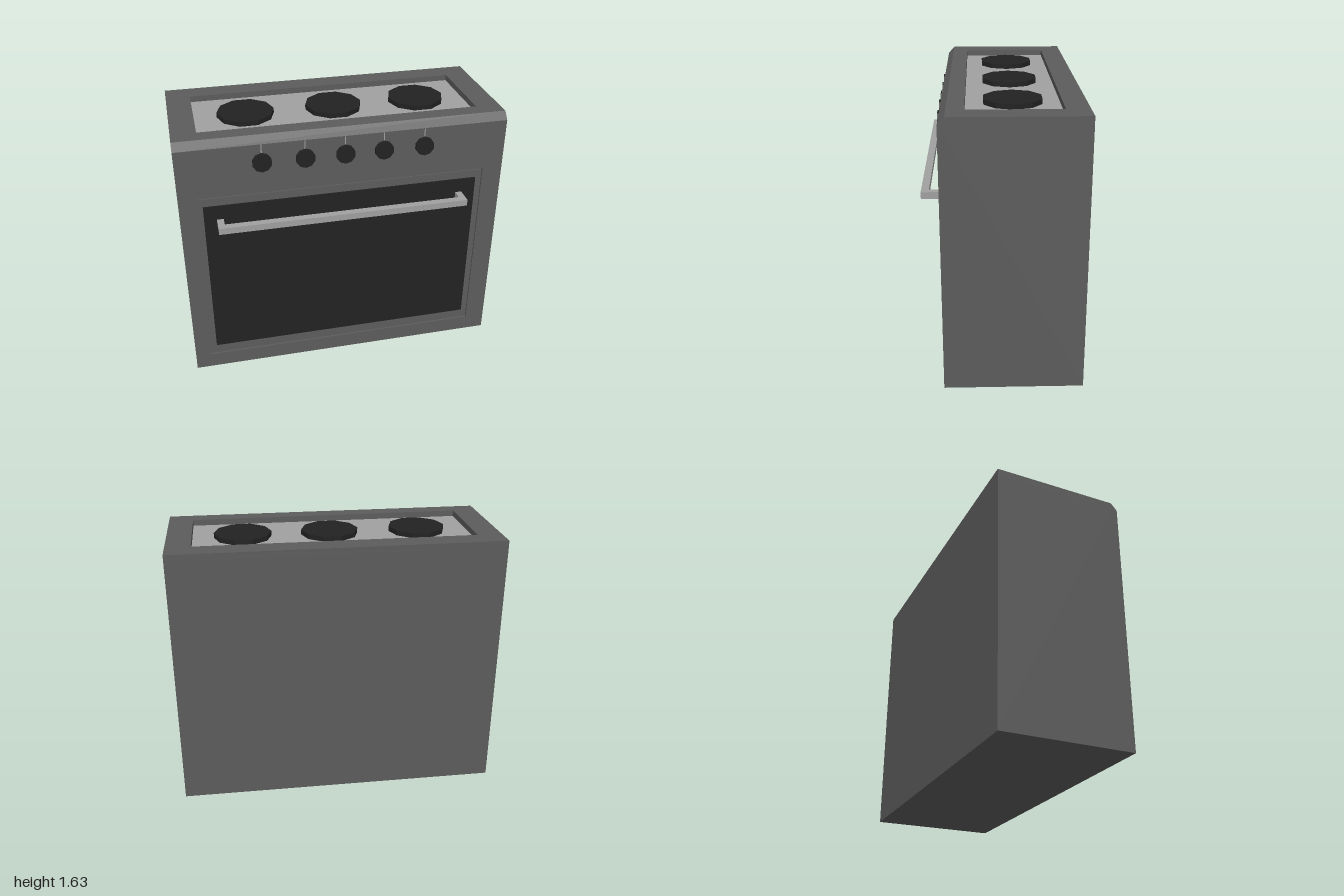
import * as THREE from 'three';

const steel = new THREE.MeshStandardMaterial({ color: 0x5c5c5c, flatShading: true });
const metal = new THREE.MeshStandardMaterial({ color: 0xa0a0a0, flatShading: true });
const black = new THREE.MeshStandardMaterial({ color: 0x222222, flatShading: true });

const BACK = -0.465, FRONT = 0.35, TOP = 1.635;
const SHOULDER_Y = 1.59, SHOULDER_Z = 0.31;   // bevel along the top front edge
const PAN_DEPTH = 0.04, DOOR_DEPTH = 0.012;   // depths of the two recesses

function add(group, name, geometry, material) {
  const mesh = new THREE.Mesh(geometry, material);
  mesh.name = name;
  group.add(mesh);
  return mesh;
}

// Box given by its limits on each axis
function block(x0, x1, y0, y1, z0, z1) {
  return new THREE.BoxGeometry(x1 - x0, y1 - y0, z1 - z0)
    .translate((x0 + x1) / 2, (y0 + y1) / 2, (z0 + z1) / 2);
}

function rectangle(PathType, x0, x1, y0, y1) {
  return new PathType([[x0, y0], [x1, y0], [x1, y1], [x0, y1]].map(p => new THREE.Vector2(...p)));
}

// Plate with a rectangular opening, lying in xy and extruded along +z
function framePlate(outer, inner, depth) {
  const shape = rectangle(THREE.Shape, ...outer);
  shape.holes.push(rectangle(THREE.Path, ...inner));
  return new THREE.ExtrudeGeometry(shape, { depth, bevelEnabled: false });
}

function createBody() {
  const body = new THREE.Group();
  body.name = 'body';

  // Side profile (z, y), extruded across the width
  const profile = new THREE.Shape([
    [BACK, 0], [FRONT - DOOR_DEPTH, 0], [FRONT - DOOR_DEPTH, SHOULDER_Y], [FRONT, SHOULDER_Y],
    [SHOULDER_Z, TOP], [SHOULDER_Z, TOP - PAN_DEPTH], [BACK, TOP - PAN_DEPTH],
  ].map(p => new THREE.Vector2(...p)));
  const core = new THREE.ExtrudeGeometry(profile, { depth: 2, bevelEnabled: false });
  add(body, 'cabinet', core.rotateY(-Math.PI / 2).translate(1, 0, 0), steel);

  // Front face around the door recess
  const face = framePlate([-1, 1, 0, SHOULDER_Y], [-0.905, 0.875, 0.1, 1.28], DOOR_DEPTH);
  add(body, 'frontFrame', face.translate(0, 0, FRONT - DOOR_DEPTH), steel);

  // Top rim around the cooktop recess (drawn in x, -z)
  const rim = framePlate([-1, 1, -SHOULDER_Z, -BACK], [-0.85, 0.85, -0.21, 0.33], PAN_DEPTH);
  add(body, 'topRim', rim.rotateX(-Math.PI / 2).translate(0, TOP - PAN_DEPTH, 0), steel);
  return body;
}

function createCooktop() {
  const cooktop = new THREE.Group();
  cooktop.name = 'cooktop';
  const floor = TOP - PAN_DEPTH;
  add(cooktop, 'cooktopPan', block(-0.85, 0.85, floor - 0.01, floor + 0.003, -0.33, 0.21), metal);
  for (const x of [-0.535, 0.012, 0.545]) {
    const plate = new THREE.CylinderGeometry(0.175, 0.175, 0.03, 10).rotateY(Math.PI / 2);
    add(cooktop, 'burner', plate, black).position.set(x, floor + 0.018, -0.06);
  }
  return cooktop;
}

function createDoor() {
  const door = new THREE.Group();
  door.name = 'ovenDoor';
  add(door, 'doorPanel', block(-0.895, 0.865, 0.11, 1.27, FRONT - 0.03, FRONT - 0.002), steel);
  add(door, 'doorWindow', block(-0.86, 0.83, 0.175, 1.22, FRONT - 0.02, FRONT + 0.006), black);

  // Bar with a post at each end
  add(door, 'handleBar', block(-0.785, 0.745, 1.09, 1.13, 0.42, 0.465), metal);
  for (const x of [-0.785, 0.705]) {
    add(door, 'handlePost', block(x, x + 0.04, 1.09, 1.13, FRONT, 0.42), metal);
  }
  return door;
}

function createControls() {
  const controls = new THREE.Group();
  controls.name = 'controls';
  for (const x of [-0.5, -0.245, -0.005, 0.23, 0.48]) {
    const knob = new THREE.CylinderGeometry(0.058, 0.058, 0.03, 10).rotateX(Math.PI / 2);
    add(controls, 'knob', knob, black).position.set(x, 1.478, FRONT + 0.006);
    add(controls, 'knobMark', block(x - 0.003, x + 0.003, 1.53, 1.588, FRONT - 0.005, FRONT + 0.002), metal);
  }
  return controls;
}

export function createModel() {
  const model = new THREE.Group();
  model.name = 'stove';
  model.add(createBody(), createCooktop(), createDoor(), createControls());
  return model;
}
